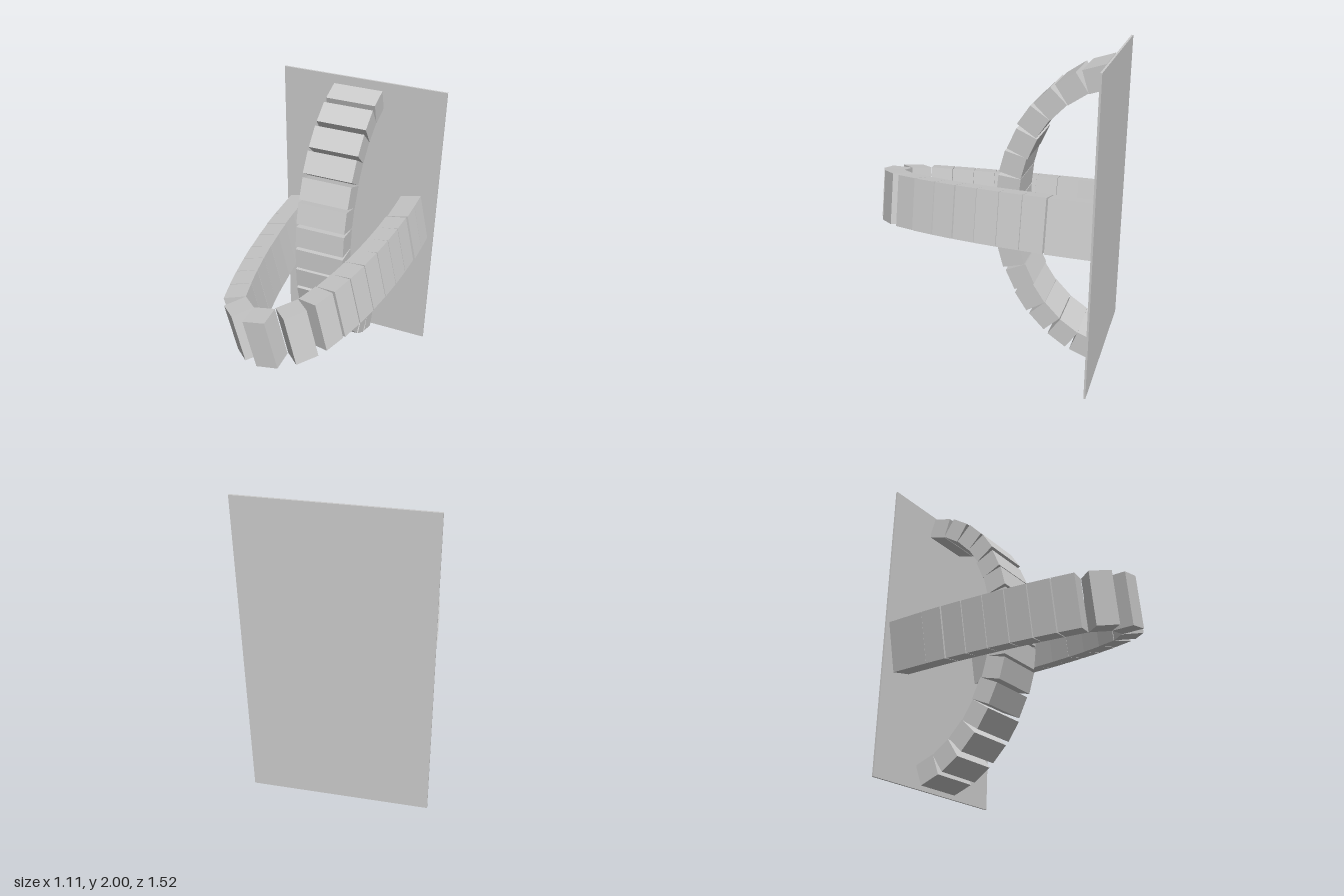
import * as THREE from 'three';

const S = 0.143; // square section of a block
const W = 0.33;  // block width across the band
const rad = THREE.MathUtils.degToRad;

export function createModel() {
  const model = new THREE.Group();
  const mat = new THREE.MeshStandardMaterial({ color: 0xcccccc, flatShading: true });

  const addBox = (parent, name, w, h, d, x, y, z) => {
    const mesh = new THREE.Mesh(new THREE.BoxGeometry(w, h, d), mat);
    mesh.name = name;
    mesh.position.set(x, y, z);
    parent.add(mesh);
    return mesh;
  };

  // Thin upright panel at the back
  addBox(model, 'backPanel', 1.11, 2, 0.012, 0, 1, -0.754);

  // Upright arch: [z, y, pitch in degrees] per block, top to bottom
  const arch = new THREE.Group();
  arch.name = 'uprightArch';
  [
    [-0.666, 1.867, 18], [-0.52, 1.8, 34], [-0.395, 1.7, 46], [-0.295, 1.583, 56],
    [-0.228, 1.44, 66], [-0.172, 1.3, 75], [-0.145, 1.147, 84], [-0.136, 0.99, 90],
    [-0.142, 0.835, 95], [-0.165, 0.685, 105], [-0.227, 0.543, 115], [-0.295, 0.403, 123],
    [-0.395, 0.284, 134], [-0.52, 0.177, 146], [-0.66, 0.107, 159],
  ].forEach(([z, y, pitch]) => {
    addBox(arch, 'archBlock', W, S, S, -0.022, y, z).rotation.x = rad(pitch);
  });
  model.add(arch);

  // Tilted band reaching forward: [x, z, yaw in degrees] in the band's own plane
  const band = new THREE.Group();
  band.name = 'tiltedBand';
  band.position.set(-0.01, 0.96, 0);
  band.rotation.z = rad(12.8);
  const leftArm = [
    [0.43, -0.676, 0], [0.428, -0.542, -1], [0.414, -0.39, -4], [0.401, -0.246, -6],
    [0.383, -0.103, -8], [0.358, 0.038, -11], [0.327, 0.182, -14], [0.287, 0.323, -17],
    [0.232, 0.463, -22],
  ];
  const rightArm = [
    [-0.425, -0.676, 0], [-0.425, -0.55, 0], [-0.423, -0.408, 2], [-0.412, -0.26, 4],
    [-0.398, -0.115, 6], [-0.382, 0.03, 8], [-0.359, 0.175, 10], [-0.332, 0.32, 12],
    [-0.298, 0.465, 14],
  ];
  const tip = [[-0.206, 0.62, 47], [-0.035, 0.688, 0], [0.138, 0.608, -45]];
  [...leftArm, ...tip, ...rightArm].forEach(([x, z, yaw]) => {
    addBox(band, 'bandBlock', S, W, S, x, 0, z).rotation.y = rad(yaw);
  });
  model.add(band);

  return model;
}
